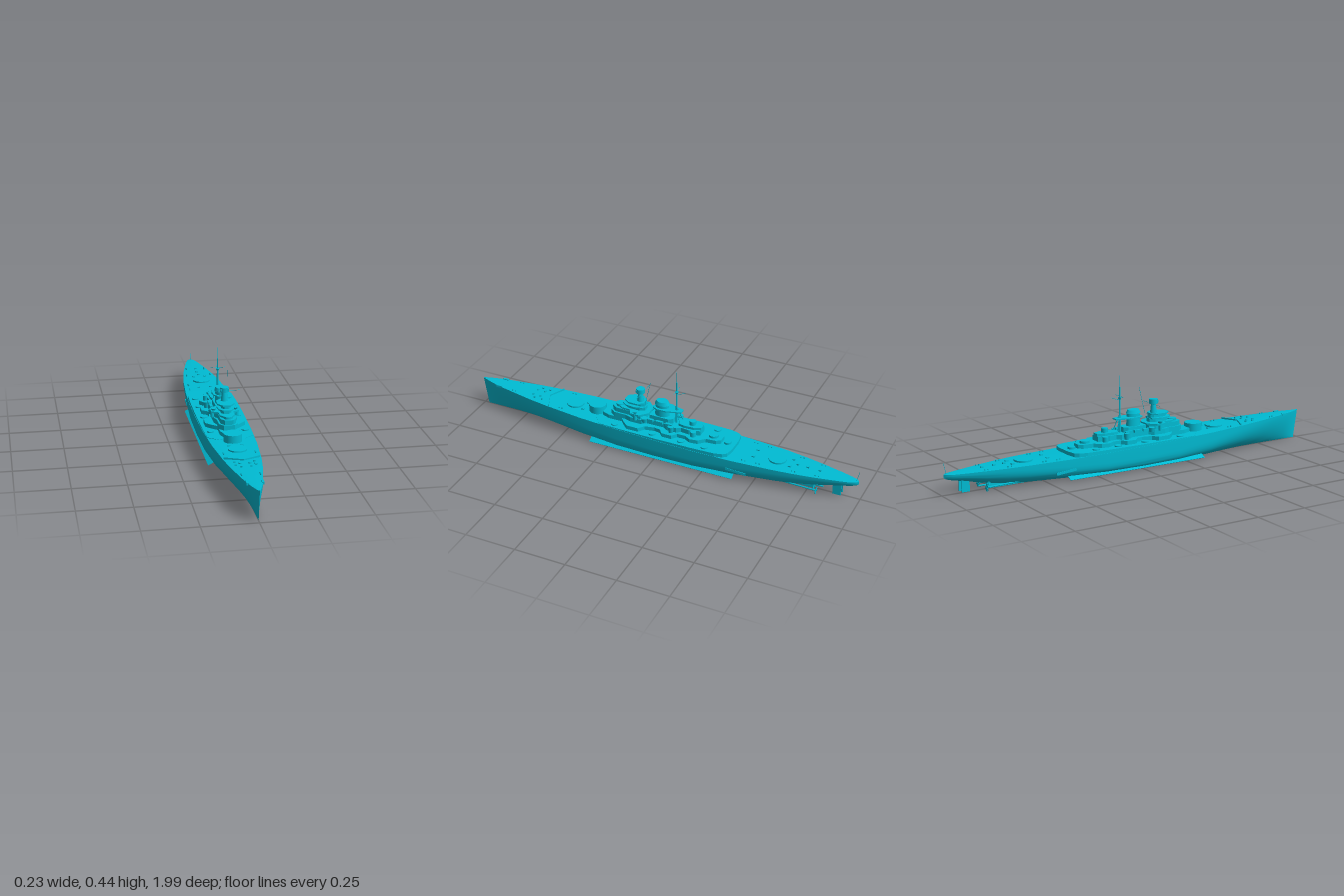
import * as THREE from 'three';
import { toCreasedNormals } from 'three/addons/utils/BufferGeometryUtils.js';

const material = new THREE.MeshStandardMaterial({ color: 0x00bcd4, side: THREE.DoubleSide });

// Hull stations: z, half beam, deck height, keel height, section fullness a and b
const stations = [
  [1.0, 0, 0.146, 0.003, 1.3, 1.2], [0.985, 0.007, 0.145, 0.003, 1.3, 1.2],
  [0.95, 0.019, 0.144, 0.003, 1.3, 1.2], [0.9, 0.034, 0.142, 0.003, 1.4, 1.2],
  [0.8, 0.053, 0.139, 0.003, 1.6, 1.3], [0.7, 0.071, 0.136, 0.003, 1.9, 1.5],
  [0.6, 0.085, 0.133, 0.003, 2.3, 1.8], [0.4, 0.104, 0.127, 0.003, 3.8, 2.6],
  [0.2, 0.114, 0.122, 0.003, 5.5, 3.6], [0, 0.117, 0.117, 0.003, 6, 4],
  [-0.2, 0.116, 0.112, 0.003, 5.5, 3.6], [-0.4, 0.108, 0.108, 0.004, 4, 2.6],
  [-0.6, 0.092, 0.106, 0.009, 2.8, 2], [-0.7, 0.078, 0.104, 0.018, 2.4, 1.9],
  [-0.8, 0.06, 0.102, 0.036, 2.2, 1.9], [-0.9, 0.038, 0.1, 0.058, 2, 2],
  [-0.95, 0.025, 0.099, 0.068, 2, 2], [-0.978, 0.013, 0.099, 0.076, 2, 2],
  [-0.988, 0, 0.098, 0.084, 2, 2],
];

// Interpolate one column of the stations at a given z
function hullAt(z, column) {
  let i = 0;
  while (i < stations.length - 2 && stations[i + 1][0] > z) i++;
  const p = stations[i], q = stations[i + 1];
  return THREE.MathUtils.lerp(p[column], q[column], (p[0] - z) / (p[0] - q[0]));
}
const deckY = z => hullAt(z, 2);

function hullGeometry() {
  const steps = 14, positions = [], index = [], ring = 2 * steps + 3;
  stations.forEach(([z, w, top, keel, a, b]) => {
    const half = [];
    for (let k = 0; k <= steps; k++) {
      const t = k / steps * Math.PI / 2;
      const s = Math.pow(Math.sin(t), 2 / a);
      const f = k === steps ? 0 : Math.pow(Math.cos(t), 2 / b);
      const rake = z > 0.9 ? -0.022 * s * (z - 0.9) / 0.1 : 0;
      half.push([w * f, top - (top - keel) * s, z + rake]);
    }
    const loop = [[0, top + 0.002, z], ...half,
      ...half.slice(0, -1).reverse().map(([x, y, zz]) => [-x, y, zz]), [0, top + 0.002, z]];
    loop.forEach(p => positions.push(...p));
  });
  for (let i = 0; i < stations.length - 1; i++) {
    for (let j = 0; j < ring - 1; j++) {
      const p = i * ring + j, q = p + ring;
      index.push(p, p + 1, q, p + 1, q + 1, q);
    }
  }
  const g = new THREE.BufferGeometry();
  g.setAttribute('position', new THREE.Float32BufferAttribute(positions, 3));
  g.setIndex(index);
  return toCreasedNormals(g, 0.6);
}

export function createModel() {
  const ship = new THREE.Group();
  ship.name = 'warship';

  function add(name, geometry, x = 0, y = 0, z = 0) {
    const mesh = new THREE.Mesh(geometry, material);
    mesh.name = name;
    mesh.position.set(x, y, z);
    ship.add(mesh);
    return mesh;
  }
  const box = (name, w, h, d, x, y, z) => add(name, new THREE.BoxGeometry(w, h, d), x, y, z);
  // Upright drum between two heights
  const drum = (name, r, y0, y1, x, z, r0 = r, sides = 24) =>
    add(name, new THREE.CylinderGeometry(r, r0, y1 - y0, sides), x, (y0 + y1) / 2, z);
  // Extruded block from a half outline of [x, z], mirrored across the centreline
  function block(name, outline, y0, y1) {
    const pts = [...outline, ...outline.map(([x, z]) => [-x, z]).reverse()];
    const shape = new THREE.Shape(pts.map(([x, z]) => new THREE.Vector2(x, -z)));
    const g = new THREE.ExtrudeGeometry(shape, { depth: y1 - y0, bevelEnabled: false });
    return add(name, g.rotateX(-Math.PI / 2), 0, y0, 0);
  }
  // Round bar between two points
  function rod(name, from, to, r, r2 = r) {
    const a = new THREE.Vector3(...from), b = new THREE.Vector3(...to), d = b.clone().sub(a);
    const m = add(name, new THREE.CylinderGeometry(r2, r, d.length(), 8));
    m.position.copy(a).add(b).multiplyScalar(0.5);
    m.quaternion.setFromUnitVectors(new THREE.Vector3(0, 1, 0), d.normalize());
    return m;
  }
  const sides = fn => [1, -1].forEach(fn);

  add('hull', hullGeometry());

  // Raised midship deck following the hull side, rounded at its after end
  const deckEdge = [[0.06, 0.33]];
  for (let z = 0.29; z > -0.33; z -= 0.06) deckEdge.push([hullAt(z, 1) * 0.985, z]);
  deckEdge.push([0.1, -0.35], [0.085, -0.368], [0.04, -0.376]);
  block('raisedDeck', deckEdge, 0.1, 0.127);

  // Main gun barbettes
  drum('forwardBarbette', 0.043, 0.12, 0.138, 0, 0.475, 0.043, 32);
  drum('upperBarbette', 0.043, 0.12, 0.165, 0, 0.352, 0.043, 32);
  drum('aftBarbette', 0.043, 0.09, 0.115, 0, -0.59, 0.043, 32);

  // Deckhouse levels
  block('lowerDeckhouse', [[0.03, 0.31], [0.045, 0.27], [0.045, 0.2], [0.068, 0.18], [0.095, 0.15],
    [0.095, 0.09], [0.065, 0.07], [0.055, 0.02], [0.06, -0.01], [0.085, -0.03], [0.085, -0.08],
    [0.058, -0.1], [0.058, -0.14], [0.075, -0.17], [0.07, -0.21], [0.04, -0.24], [0.035, -0.29],
    [0.02, -0.31]], 0.12, 0.146);
  block('upperDeckhouse', [[0.025, 0.265], [0.045, 0.24], [0.045, 0.18], [0.055, 0.15], [0.055, 0.09],
    [0.035, 0.07], [0.035, -0.02], [0.05, -0.04], [0.05, -0.09], [0.035, -0.11],
    [0.04, -0.15], [0.025, -0.205]], 0.14, 0.17);
  block('bridgeHouse', [[0.02, 0.258], [0.036, 0.235], [0.038, 0.16], [0.05, 0.14], [0.05, 0.1],
    [0.03, 0.075]], 0.165, 0.192);
  block('bridgeDeck', [[0.018, 0.225], [0.034, 0.205], [0.036, 0.16], [0.066, 0.145], [0.066, 0.1],
    [0.03, 0.065]], 0.192, 0.2);
  block('bridgeTower', [[0.012, 0.19], [0.024, 0.175], [0.026, 0.115], [0.014, 0.09]], 0.2, 0.218);
  block('towerPlatform', [[0.018, 0.205], [0.036, 0.18], [0.04, 0.14], [0.03, 0.095]], 0.216, 0.222);
  block('towerHouse', [[0.01, 0.185], [0.022, 0.17], [0.022, 0.11], [0.012, 0.095]], 0.222, 0.238);
  block('towerGallery', [[0.018, 0.195], [0.04, 0.165], [0.04, 0.12], [0.02, 0.095]], 0.236, 0.243);
  drum('conningTower', 0.022, 0.165, 0.203, 0, 0.225);
  drum('controlTower', 0.011, 0.24, 0.287, 0, 0.12, 0.017);
  drum('rangefinderHead', 0.021, 0.287, 0.309, 0, 0.12);
  box('rangefinderArm', 0.04, 0.012, 0.016, 0, 0.298, 0.128);
  rod('signalYard', [-0.075, 0.287, 0.11], [0.075, 0.287, 0.11], 0.001);
  rod('aerialPole', [0.022, 0.24, 0.085], [0.026, 0.37, 0.055], 0.001);

  // Funnel with sloping cap and searchlight platform
  const funnel = drum('funnel', 0.024, 0.15, 0.26, 0, 0.005, 0.027);
  funnel.scale.z = 1.4;
  const cap = drum('funnelCap', 0.022, 0.255, 0.272, 0, 0.005, 0.028);
  cap.scale.z = 1.35;
  block('searchlightPlatform', [[0.02, 0.045], [0.036, 0.02], [0.036, -0.03], [0.025, -0.06],
    [0.015, -0.1]], 0.234, 0.24);
  block('funnelHouse', [[0.03, 0.06], [0.032, -0.04], [0.018, -0.06]], 0.165, 0.195);

  // Main mast with crow's nest and yards
  rod('mainMast', [0, 0.15, -0.07], [0, 0.335, -0.07], 0.006, 0.004);
  drum('crowsNest', 0.009, 0.33, 0.34, 0, -0.07, 0.005, 12);
  rod('topMast', [0, 0.335, -0.07], [0, 0.39, -0.07], 0.003);
  rod('mastPole', [0, 0.39, -0.07], [0, 0.445, -0.07], 0.0014);
  rod('mastYard', [-0.035, 0.345, -0.07], [0.035, 0.345, -0.07], 0.0011);
  rod('mastGaff', [0, 0.325, -0.07], [0, 0.342, -0.115], 0.0011);
  sides(s => rod('mastLeg', [s * 0.022, 0.165, -0.1], [0, 0.26, -0.07], 0.002));

  // Aft superstructure
  block('aftHouse', [[0.022, -0.09], [0.03, -0.12], [0.028, -0.17], [0.015, -0.205]], 0.165, 0.182);
  drum('aftDirector', 0.016, 0.18, 0.202, 0, -0.155);
  drum('aftGunBase', 0.024, 0.14, 0.157, 0, -0.265);
  drum('aftDeckMount', 0.018, 0.12, 0.137, 0, -0.335);

  sides(s => {
    // Directors and gun tubs on the wings
    drum('wingDirector', 0.013, 0.2, 0.209, s * 0.052, 0.125, 0.009, 16);
    drum('wingPost', 0.009, 0.165, 0.195, s * 0.058, 0.122, 0.009, 16);
    drum('wingTub', 0.016, 0.164, 0.186, s * 0.054, 0.075, 0.011, 16);
    drum('midshipTub', 0.015, 0.145, 0.176, s * 0.055, -0.065, 0.011, 16);
    drum('aftTub', 0.014, 0.145, 0.17, s * 0.042, -0.175, 0.014, 16);
    // Secondary gun bases along the deck edge
    [0.22, 0.02, -0.13, -0.25].forEach(z =>
      drum('secondaryGunBase', 0.017, 0.12, 0.133, s * 0.082, z));
    [0.05, 0, -0.05].forEach(z => box('boat', 0.013, 0.012, 0.036, s * 0.045, 0.176, z));

    // Breakwater and deck fittings
    const wall = box('breakwater', 0.088, 0.009, 0.004, s * 0.041, deckY(0.6) + 0.004, 0.602);
    wall.rotation.y = s * 0.42;
    [0.66, 0.7].forEach(z => {
      drum('capstan', 0.006, deckY(z), deckY(z) + 0.007, s * 0.022, z, 0.006, 12);
      box('ventilator', 0.01, 0.007, 0.008, s * 0.045, deckY(z) + 0.004, z - 0.02);
    });
    [0.8, 0.52, -0.45, -0.52, -0.69, -0.8].forEach(z => {
      const x = s * hullAt(z, 1) * 0.78;
      [0.008, -0.008].forEach(dz =>
        drum('bollard', 0.003, deckY(z), deckY(z) + 0.007, x, z + dz, 0.003, 8));
    });
    [0.42, -0.48, -0.66].forEach(z => box('hatch', 0.012, 0.006, 0.014, s * 0.03, deckY(z) + 0.004, z));
    box('anchorRest', 0.01, 0.01, 0.03, s * 0.034, deckY(0.89) - 0.001, 0.89);

    // Side fittings, bilge keels, shafts and propellers
    box('sideLedge', 0.012, 0.012, 0.1, s * 0.1, 0.052, -0.42).rotation.set(-0.12, s * 0.08, 0);
    const keel = box('bilgeKeel', 0.03, 0.002, 0.75, s * 0.1, 0.018, -0.03);
    keel.rotation.z = s * -0.5;
    rod('propellerShaft', [s * 0.045, 0.028, -0.58], [s * 0.045, 0.022, -0.8], 0.004);
    rod('shaftStrut', [s * 0.045, 0.024, -0.785], [s * 0.028, 0.062, -0.785], 0.003);
    for (let k = 0; k < 3; k++) {
      const blade = box('propellerBlade', 0.009, 0.034, 0.002, s * 0.045, 0.022, -0.8);
      blade.rotation.set(0, 0.4, k * Math.PI / 3, 'ZYX');
    }
    box('rudder', 0.005, 0.055, 0.04, s * 0.014, 0.036, -0.89);
  });

  // Centreline skeg, deck gear and flagstaffs
  box('skeg', 0.012, 0.045, 0.26, 0, 0.027, -0.65);
  rod('centreShaft', [0, 0.022, -0.76], [0, 0.022, -0.82], 0.004);
  [-0.69, -0.74, -0.8].forEach(z => box('aftHatch', 0.012, 0.007, 0.012, 0, deckY(z) + 0.005, z));
  rod('sternStaff', [0, 0.098, -0.975], [0, 0.15, -0.988], 0.001);
  return ship;
}
